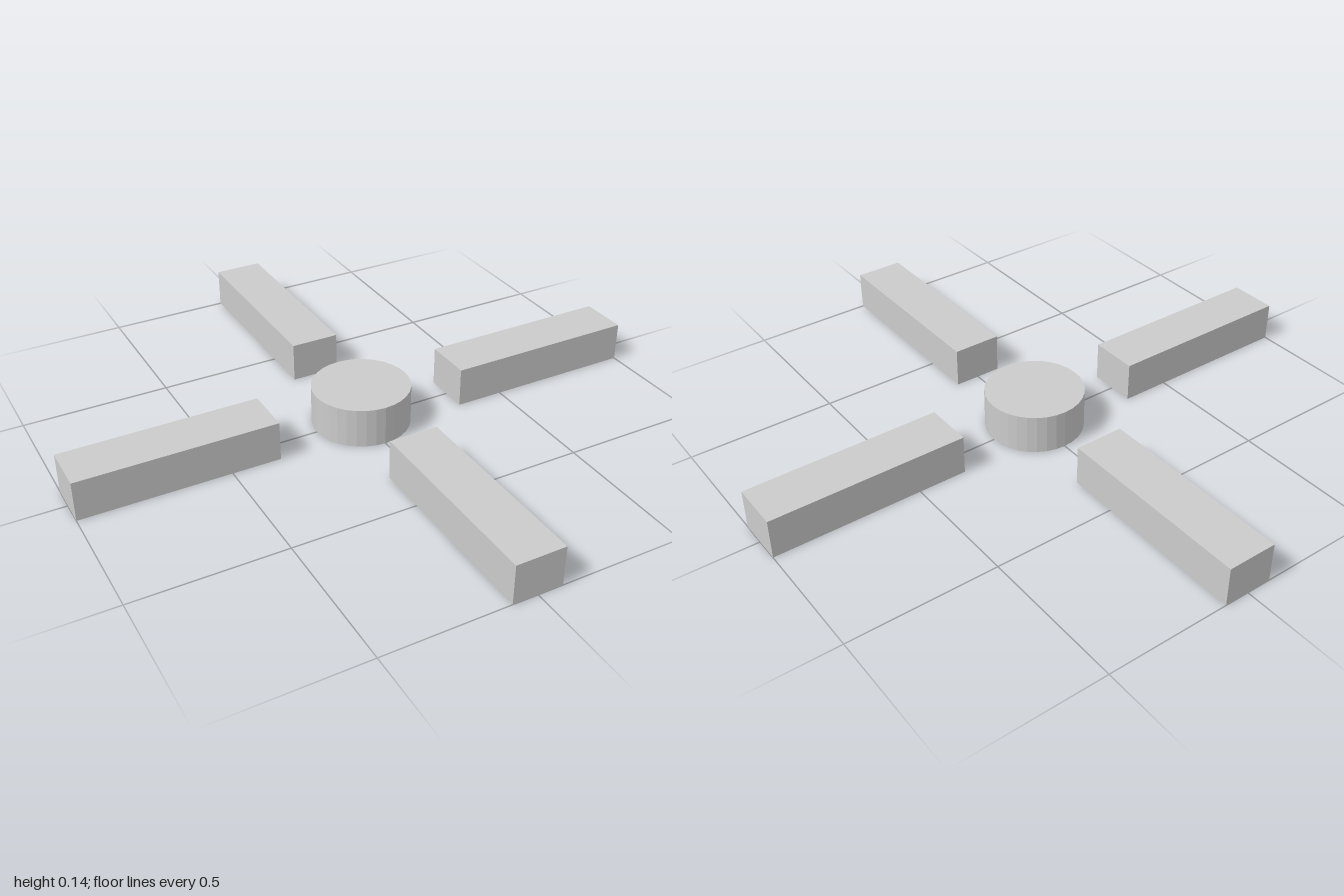
import * as THREE from 'three';

export function createModel() {
  const group = new THREE.Group();
  const material = new THREE.MeshStandardMaterial({ color: 0xcccccc, flatShading: true });
  const height = 0.135, width = 0.167, inner = 0.335, outer = 1;

  // Round centre disc
  const hub = new THREE.Mesh(new THREE.CylinderGeometry(0.165, 0.165, height, 32), material);
  hub.name = 'hub';
  hub.position.y = height / 2;
  group.add(hub);

  // Four separate bars around the hub
  const barGeometry = new THREE.BoxGeometry(outer - inner, height, width);
  barGeometry.translate((inner + outer) / 2, height / 2, 0);
  ['leftBar', 'backBar', 'rightBar', 'frontBar'].forEach((name, i) => {
    const bar = new THREE.Mesh(barGeometry, material);
    bar.name = name;
    bar.rotation.y = i * Math.PI / 2;
    group.add(bar);
  });

  return group;
}
